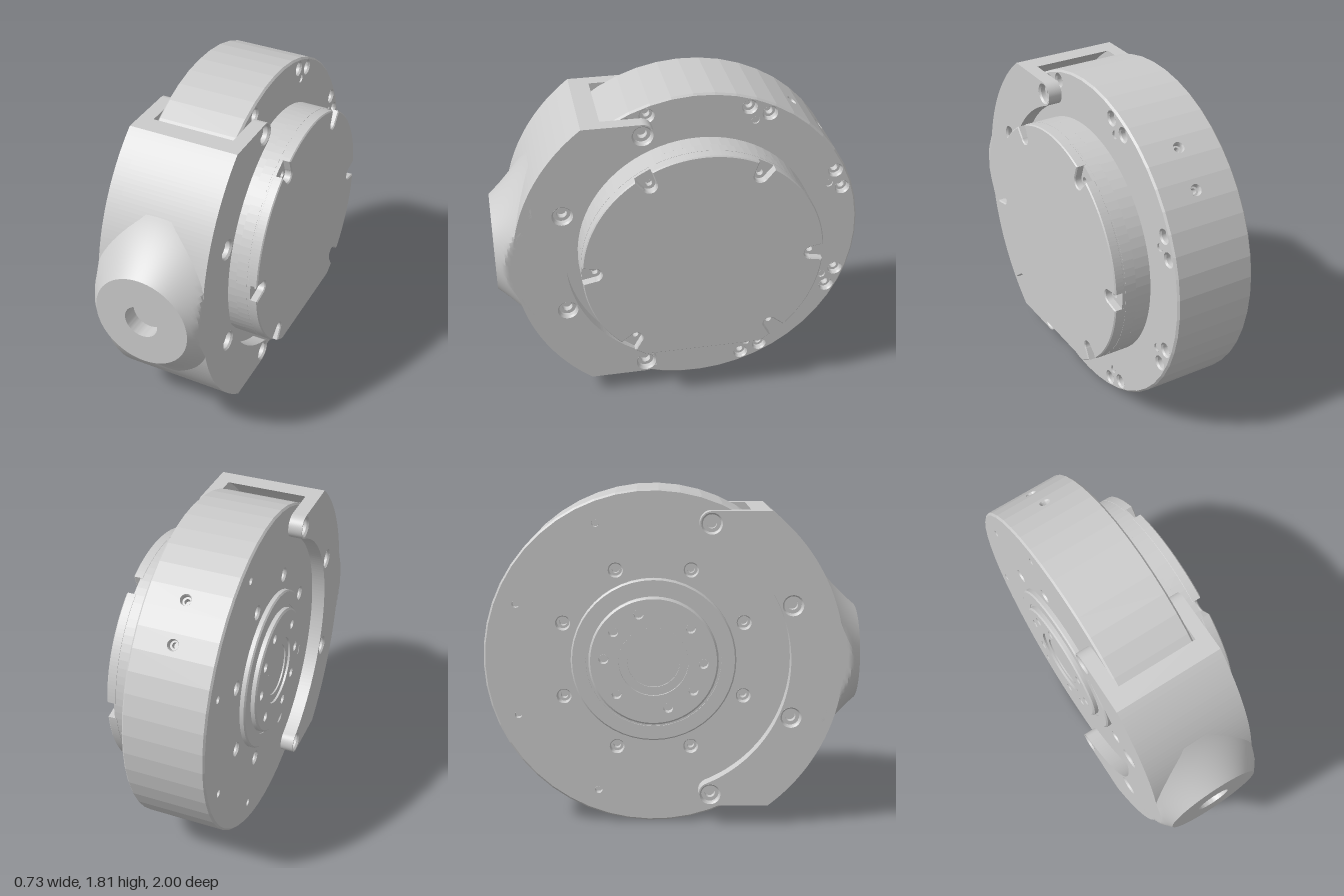
import * as THREE from 'three';
import { toCreasedNormals } from 'three/addons/utils/BufferGeometryUtils.js';

const grey = new THREE.MeshStandardMaterial({ color: 0xcccccc, side: THREE.DoubleSide });
const rad = THREE.MathUtils.degToRad;
const polar = (r, deg) => [r * Math.cos(rad(deg)), r * Math.sin(rad(deg))];
const octagon = (r, offset = 22.5) => Array.from({ length: 8 }, (_, k) => polar(r, offset + 45 * k));

function add(parent, name, geometry) {
  const mesh = new THREE.Mesh(geometry, grey);
  mesh.name = name;
  parent.add(mesh);
  return mesh;
}

function punch(shape, x, y, r) {
  shape.holes.push(new THREE.Path().absarc(x, y, r, 0, Math.PI * 2, true));
}

function circleShape(r) {
  return new THREE.Shape().absarc(0, 0, r, 0, Math.PI * 2, false);
}

function extrude(parent, name, shape, z0, z1) {
  const g = new THREE.ExtrudeGeometry(shape, { depth: z1 - z0, bevelEnabled: false, curveSegments: 40 });
  return add(parent, name, g.translate(0, 0, z0));
}

// Revolve [radius, z] pairs about the z axis
function revolve(parent, name, profile, segments = 24, crease = 0.5, phase = 0) {
  const pts = profile.map(([r, z]) => new THREE.Vector2(r, z));
  const g = new THREE.LatheGeometry(pts, segments, phase).rotateX(Math.PI / 2);
  return add(parent, name, toCreasedNormals(g, crease));
}

// Stepped screw hole sunk from height z; dir = +1 for faces looking along +z
function screwHole(parent, x, y, z, r, dir, depth = 0.07) {
  const m = revolve(parent, 'screwHole', [
    [r, 0], [r * 0.85, -dir * depth * 0.15], [r * 0.85, -dir * depth * 0.5],
    [r * 0.5, -dir * depth * 0.5], [r * 0.5, -dir * depth], [0, -dir * depth]]);
  m.position.set(x, y, z);
}

function plainHole(parent, x, y, z, r, dir, depth) {
  const m = revolve(parent, 'pinHole', [[r, 0], [r, -dir * depth], [0, -dir * depth]], 16);
  m.position.set(x, y, z);
}

// Drum: faceted rim, chamfers and two drilled faces
function buildDrum(parent) {
  const drum = new THREE.Group();
  drum.name = 'drum';
  parent.add(drum);
  const N = 50, R = 0.905, step = 360 / N, first = 37.8, back = -0.29, front = 0.155, c = 0.01;
  const half = R * Math.sin(rad(step / 2)), apothem = R * Math.cos(rad(step / 2));
  for (let i = 0; i < N; i++) {
    const a = rad(first + i * step);
    const s = new THREE.Shape([[-half, back + c], [half, back + c], [half, front - c], [-half, front - c]]
      .map(p => new THREE.Vector2(...p)));
    const panel = new THREE.Group();
    panel.name = 'rimPanel';
    panel.matrixAutoUpdate = true;
    const n = new THREE.Vector3(Math.cos(a), Math.sin(a), 0), v = new THREE.Vector3(0, 0, 1);
    panel.quaternion.setFromRotationMatrix(new THREE.Matrix4().makeBasis(v.clone().cross(n), v, n));
    panel.position.copy(n).multiplyScalar(apothem);
    drum.add(panel);
    if (i === 0 || i === 2) {
      punch(s, 0, -0.055, 0.03);
      screwHole(panel, 0, -0.055, 0, 0.03, 1, 0.06);
    }
    add(panel, 'rimFacet', new THREE.ShapeGeometry(s, 24));
  }
  const phase = rad(first + step / 2 + 90);
  revolve(drum, 'frontChamfer', [[R, front - c], [R - c, front]], N, 0.05, phase);
  revolve(drum, 'backChamfer', [[R - c, back], [R, back + c]], N, 0.05, phase);

  const polygon = () => new THREE.Shape(Array.from({ length: N }, (_, i) =>
    new THREE.Vector2(...polar(R - c, first + step * (i + 0.5)))));
  const frontFace = polygon(), backFace = polygon();
  for (let k = 0; k < 8; k++) {
    for (const d of [-4, 4]) {
      const [x, y] = polar(0.848, 22.5 + 45 * k + d);
      punch(frontFace, x, y, 0.041);
      screwHole(drum, x, y, front, 0.041, 1);
    }
  }
  for (const [x, y] of octagon(0.787)) {
    punch(frontFace, x, y, 0.022);
    plainHole(drum, x, y, front, 0.022, 1, 0.01);
    punch(backFace, x, y, 0.02);
    plainHole(drum, x, y, back, 0.02, -1, 0.04);
  }
  for (const [x, y] of octagon(0.52)) {
    punch(backFace, x, y, 0.04);
    screwHole(drum, x, y, back, 0.04, -1);
  }
  add(drum, 'frontFace', new THREE.ShapeGeometry(frontFace, 24)).position.z = front;
  add(drum, 'backFace', new THREE.ShapeGeometry(backFace, 24).scale(1, 1, -1)).position.z = back;
}

// Output flange on the back of the drum
function buildHub(parent) {
  const hub = new THREE.Group();
  hub.name = 'outputFlange';
  parent.add(hub);
  revolve(hub, 'flangeSteps', [[0.335, -0.345], [0.345, -0.337], [0.345, -0.315], [0.36, -0.315],
    [0.36, -0.32], [0.432, -0.32], [0.44, -0.312], [0.44, -0.28]], 48);
  const face = circleShape(0.335);
  punch(face, 0, 0, 0.185);
  for (const a of [42, 107, 143, 177, 222, 287, 323, 357]) {
    const [x, y] = polar(0.265, 180 - a);
    punch(face, x, y, 0.026);
    plainHole(hub, x, y, -0.345, 0.026, -1, 0.05);
  }
  add(hub, 'flangeFace', new THREE.ShapeGeometry(face, 48).scale(1, 1, -1)).position.z = -0.345;
  revolve(hub, 'flangeCentre', [[0, -0.325], [0.14, -0.325], [0.14, -0.333], [0.185, -0.333], [0.185, -0.345]], 48);
}

// Round cover with a flat lower edge and six screw notches
function buildCover(parent) {
  const cover = new THREE.Group();
  cover.name = 'cover';
  parent.add(cover);
  const R = 0.655, inner = 0.627, start = -60.5, end = 240.5;
  const base = circleShape(R);
  punch(base, 0, 0, inner);
  extrude(cover, 'coverBase', base, 0.15, 0.24);
  const wall = new THREE.Shape().absarc(0, 0, R, rad(start), rad(end), false);
  wall.absarc(0, 0, inner, rad(end), rad(start), true);
  extrude(cover, 'coverWall', wall, 0.24, 0.3);

  const floor = new THREE.Shape().absarc(0, 0, R - 0.001, rad(start), rad(end), false);
  const lid = new THREE.Shape();
  let from = start;
  for (const a of [-50, 0, 60.5, 119.5, 180, 230]) {
    const flare = 4.2, [x, y] = polar(0.587, a);
    lid.absarc(0, 0, R, rad(from), rad(a - flare), false);
    lid.absarc(x, y, 0.035, rad(a - 90), rad(a - 270), true);
    from = a + flare;
    punch(floor, x, y, 0.018);
    plainHole(cover, x, y, 0.32, 0.018, 1, 0.03);
  }
  lid.absarc(0, 0, R, rad(from), rad(end), false);
  extrude(cover, 'notchFloor', floor, 0.295, 0.32);
  const g = new THREE.ExtrudeGeometry(lid, { depth: 0.044, bevelThickness: 0.006, bevelSize: 0.006,
    bevelOffset: -0.006, bevelSegments: 1, curveSegments: 14 });
  add(cover, 'lid', g.translate(0, 0, 0.31));
}

// Channel bracket: two cheeks, a curved web and a flared boss
function buildBracket(parent) {
  const bracket = new THREE.Group();
  bracket.name = 'bracket';
  parent.add(bracket);
  const top = 0.795, R = Math.hypot(0.615, top), a0 = Math.atan2(top, -0.615), a1 = 2 * Math.PI - a0;
  const tip = Math.atan2(0.73, -0.305), inner = Math.hypot(0.305, 0.73) - 0.065;
  const cheek = new THREE.Shape().moveTo(-0.305, top).lineTo(-0.615, top);
  cheek.absarc(0, 0, R, a0, a1, false);
  cheek.lineTo(-0.305, -top);
  cheek.absarc(-0.305, -0.73, 0.065, -Math.PI / 2, Math.PI - tip, false);
  cheek.absarc(0, 0, inner, 2 * Math.PI - tip, tip, true);
  cheek.absarc(-0.305, 0.73, 0.065, tip - Math.PI, Math.PI / 2, false);
  for (const [x, y] of octagon(0.791).filter(p => p[0] < 0)) {
    punch(cheek, x, y, 0.056);
    screwHole(bracket, x, y, 0.23, 0.056, 1);
    screwHole(bracket, x, y, -0.365, 0.056, -1);
  }
  extrude(bracket, 'outerCheek', cheek, 0.155, 0.23);
  extrude(bracket, 'innerCheek', cheek, -0.365, -0.29);

  const slot = Math.atan2(top, -0.51);
  const web = new THREE.Shape().moveTo(-0.51, top).lineTo(-0.615, top);
  web.absarc(0, 0, R, a0, a1, false);
  web.lineTo(-0.51, -top);
  web.absarc(0, 0, Math.hypot(0.51, top), 2 * Math.PI - slot, slot, true);
  extrude(bracket, 'web', web, -0.29, 0.155);

  // Flare runs out into the web and is trimmed flush with both cheeks
  const profile = [[0, 1.012], [0.092, 1.012], [0.092, 1.095], [0.26, 1.095]];
  for (let i = 1; i <= 16; i++) {
    const s = i / 16;
    profile.push([0.26 + 0.24 * s, 1.095 - 0.22 * (1.3 * s - 0.3 * s * s)]);
  }
  const g = new THREE.LatheGeometry(profile.map(p => new THREE.Vector2(...p)), 72).rotateZ(Math.PI / 2);
  const p = g.attributes.position;
  for (let i = 0; i < p.count; i++) p.setZ(i, THREE.MathUtils.clamp(p.getZ(i), -0.2975, 0.2975));
  add(bracket, 'boss', toCreasedNormals(g, 0.5)).position.z = -0.0675;
}

export function createModel() {
  const model = new THREE.Group();
  model.name = 'rotaryActuator';
  // Local z is the drum axis, turned to lie along world x
  const body = new THREE.Group();
  body.name = 'body';
  body.rotation.y = Math.PI / 2;
  body.position.set(0, 0.907, -0.095);
  model.add(body);
  buildDrum(body);
  buildHub(body);
  buildCover(body);
  buildBracket(body);
  return model;
}
